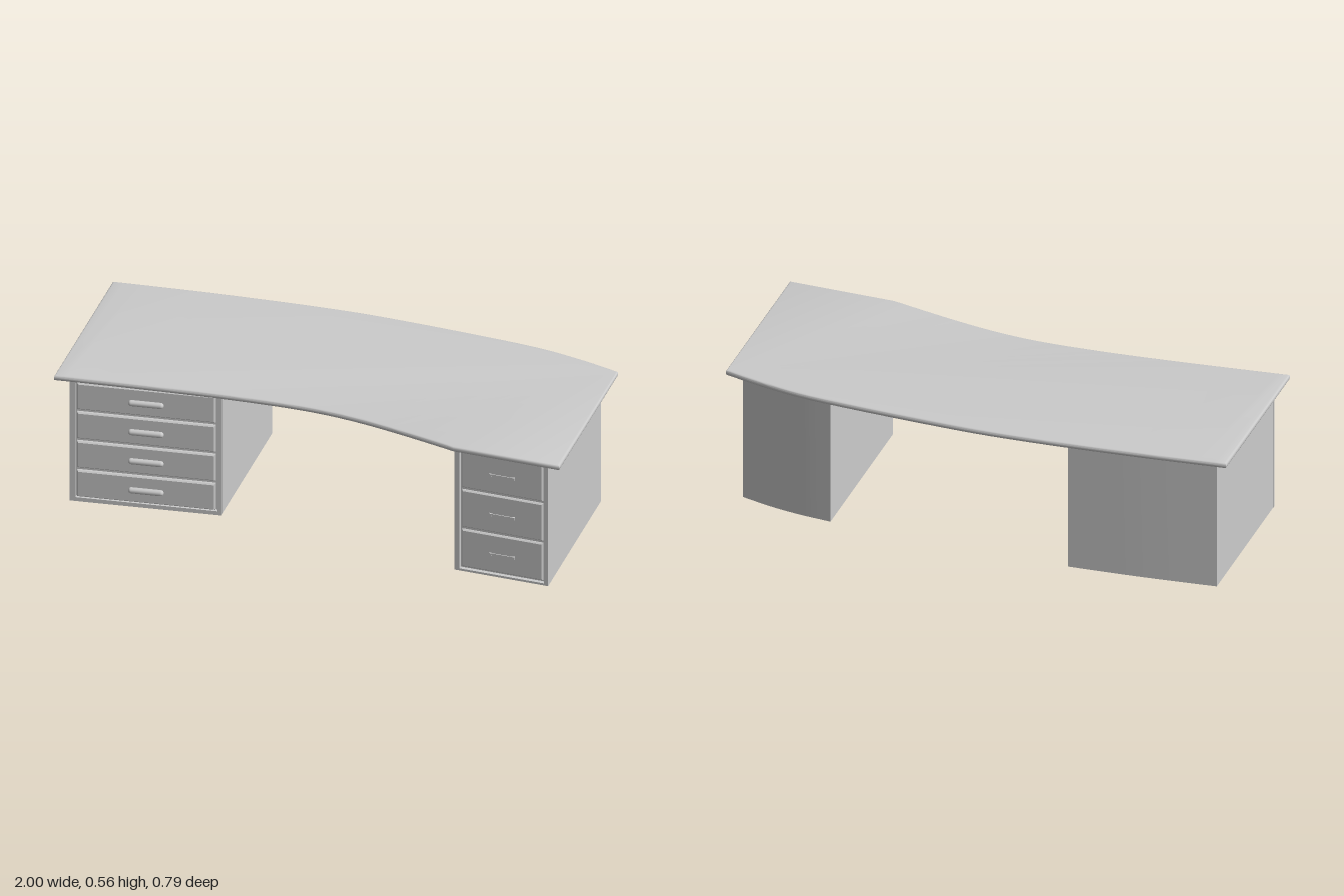
import * as THREE from 'three';
import { toCreasedNormals } from 'three/addons/utils/BufferGeometryUtils.js';

const material = new THREE.MeshStandardMaterial({ color: 0xcccccc });
const v = (x, y) => new THREE.Vector2(x, y);

function add(parent, name, geometry, x = 0, y = 0, z = 0) {
  const mesh = new THREE.Mesh(geometry, material);
  mesh.name = name;
  mesh.position.set(x, y, z);
  parent.add(mesh);
  return mesh;
}

// Vertical prism from a plan outline drawn in (x, -z)
function slab(shape, height, bevel = 0) {
  const geometry = new THREE.ExtrudeGeometry(shape, {
    depth: height - 2 * bevel, curveSegments: 5, bevelEnabled: bevel > 0,
    bevelSize: bevel, bevelThickness: bevel, bevelOffset: -bevel, bevelSegments: 3,
  });
  geometry.translate(0, 0, bevel).rotateX(-Math.PI / 2);
  return toCreasedNormals(geometry, 0.6);
}

// Rectangle outline around the current corner values
function rectangle(path, x0, y0, x1, y1) {
  path.moveTo(x0, y0);
  path.lineTo(x1, y0);
  path.lineTo(x1, y1);
  path.lineTo(x0, y1);
  path.closePath();
  return path;
}

// Drawer front with sloped edges; its face lies at z = 0
function drawerFront(w, h) {
  const b = 0.005;
  const geometry = new THREE.ExtrudeGeometry(rectangle(new THREE.Shape(), -w / 2, -h / 2, w / 2, h / 2), {
    depth: 0.008, bevelSize: b, bevelThickness: b, bevelOffset: -b, bevelSegments: 1,
  });
  return geometry.translate(0, 0, -0.008 - b);
}

const TOP = 0.543; // underside of the desktop
const RECESS = 0.014; // depth of the drawer opening

// Pedestal: front runs from a to b in (x, z); back is a list of (x, -z) from b's side to a's
function pedestal(name, a, b, back, opt) {
  const group = new THREE.Group();
  group.name = name;
  const outline = new THREE.Shape();
  outline.moveTo(a.x, -a.y + RECESS);
  outline.lineTo(b.x, -b.y + RECESS);
  outline.lineTo(back[0].x, back[0].y);
  outline.splineThru(back.slice(1));
  outline.closePath();
  add(group, 'cabinetBody', slab(outline, TOP));

  // Front assembly, turned to follow the front of the cabinet
  const front = new THREE.Group();
  front.name = 'drawerBank';
  front.position.set((a.x + b.x) / 2, 0, (a.y + b.y) / 2);
  front.rotation.y = -Math.atan2(b.y - a.y, b.x - a.x);
  group.add(front);

  const half = a.distanceTo(b) / 2, { x0, x1, y0, y1, count, gap, face } = opt;
  const frame = rectangle(new THREE.Shape(), -half, 0, half, TOP);
  const m = 0.007;
  frame.holes.push(rectangle(new THREE.Path(), x0 - m, y0 - m, x1 + m, y1 + m));
  add(front, 'frontFrame', new THREE.ExtrudeGeometry(frame, { depth: RECESS, bevelEnabled: false }), 0, 0, -RECESS);

  const h = (y1 - y0 - gap * (count - 1)) / count, cx = (x0 + x1) / 2;
  for (let i = 0; i < count; i++) {
    const y = y0 + h / 2 + i * (h + gap);
    add(front, 'drawer', drawerFront(x1 - x0, h), cx, y, face);
    opt.handle(front, cx, y, face);
  }
  return group;
}

// Wide rounded pull
function roundPull(parent, x, y, z) {
  const bar = new THREE.CapsuleGeometry(0.012, 0.112, 4, 12).rotateZ(Math.PI / 2);
  add(parent, 'drawerPull', bar, x, y - 0.002, z + 0.004);
}

// Slim bar on two short posts
function slimPull(parent, x, y, z) {
  add(parent, 'drawerPull', new THREE.BoxGeometry(0.1, 0.007, 0.003), x, y, z + 0.0055);
  for (const s of [-1, 1])
    add(parent, 'pullPost', new THREE.BoxGeometry(0.008, 0.012, 0.006), x + s * 0.046, y - 0.003, z + 0.003);
}

export function createModel() {
  const desk = new THREE.Group();
  desk.name = 'desk';

  // Sweeping desktop with a rounded edge
  const top = new THREE.Shape();
  top.moveTo(-1, -0.39);
  top.splineThru([v(-0.6, -0.342), v(-0.3, -0.312), v(-0.04, -0.299), v(0.15, -0.31), v(0.35, -0.342), v(0.58, -0.39)]);
  top.lineTo(1, -0.39);
  top.lineTo(1, 0.31);
  top.splineThru([v(0.83, 0.35), v(0.6, 0.381), v(0.1, 0.396), v(-0.2, 0.388), v(-0.6, 0.355), v(-1, 0.31)]);
  top.closePath();
  add(desk, 'desktop', slab(top, 0.022, 0.008), 0, TOP, 0);

  // Wide pedestal with four drawers
  desk.add(pedestal('widePedestal', v(-0.95, 0.355), v(-0.375, 0.276),
    [v(-0.375, 0.33), v(-0.65, 0.308), v(-0.95, 0.275)],
    { x0: -0.26, x1: 0.267, y0: 0.024, y1: 0.528, count: 4, gap: 0.013, face: 0.007, handle: roundPull }));

  // Narrow pedestal with three drawers
  desk.add(pedestal('narrowPedestal', v(0.575, 0.357), v(0.945, 0.357),
    [v(0.945, 0.27), v(0.82, 0.3), v(0.7, 0.318), v(0.575, 0.327)],
    { x0: -0.158, x1: 0.162, y0: 0.016, y1: 0.532, count: 3, gap: 0.011, face: -0.005, handle: slimPull }));

  return desk;
}
